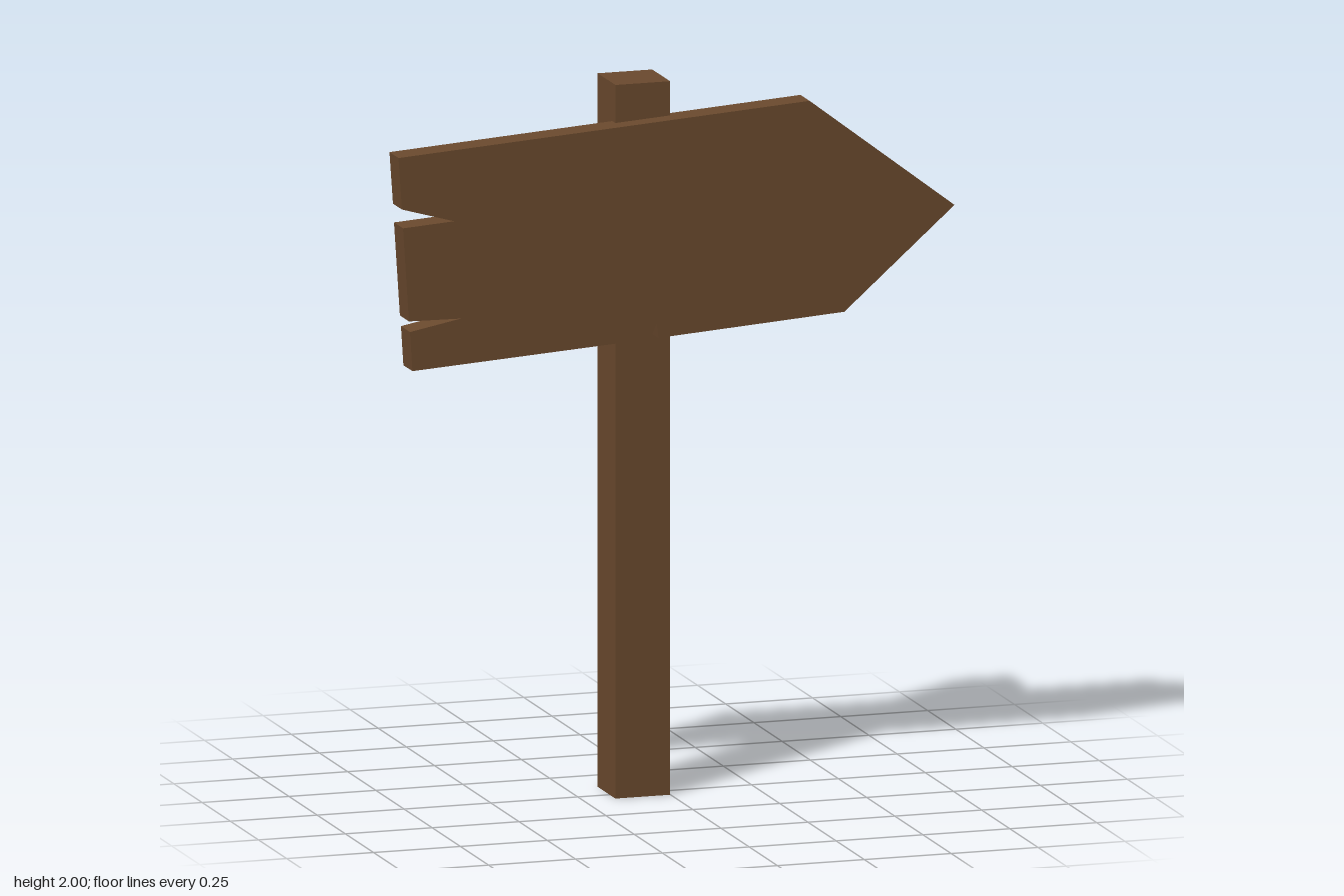
import * as THREE from 'three';

export function createModel() {
  const group = new THREE.Group();
  group.name = 'signpost';
  const wood = new THREE.MeshStandardMaterial({ color: 0x6b4a2e, flatShading: true });

  // Square upright post
  const post = new THREE.Mesh(new THREE.BoxGeometry(0.157, 2, 0.157), wood);
  post.name = 'post';
  post.position.set(-0.08, 1, -0.027);
  group.add(post);

  // Arrow board outline, counter-clockwise from the top left corner
  const outline = [
    [-0.8, 1.85], [-0.79, 1.705], [-0.64, 1.662], [-0.787, 1.652], // upper split
    [-0.77, 1.39], [-0.62, 1.388], [-0.767, 1.36], [-0.76, 1.25], // lower split
    [-0.085, 1.293], [-0.072, 1.3], [-0.057, 1.335], [-0.052, 1.295], // crack in lower edge
    [0.483, 1.332], [0.8, 1.61], [0.383, 1.93], // arrow head
  ].map(([x, y]) => new THREE.Vector2(x, y));
  const board = new THREE.Mesh(
    new THREE.ExtrudeGeometry(new THREE.Shape(outline), { depth: 0.08, bevelEnabled: false }),
    wood
  );
  board.name = 'arrowBoard';
  board.position.z = 0.025;
  group.add(board);

  return group;
}
